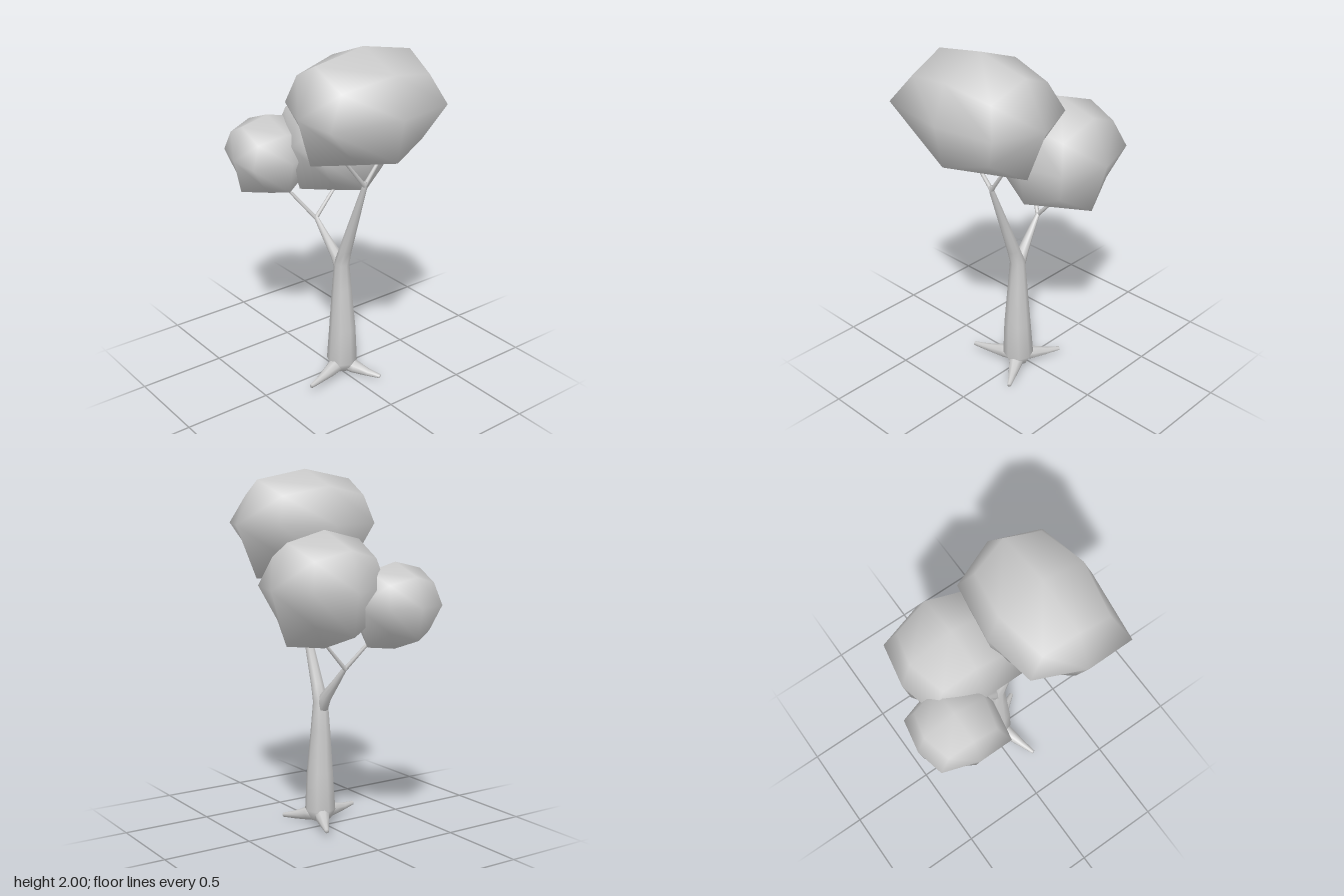
import * as THREE from 'three';

const material = new THREE.MeshStandardMaterial({ color: 0xcccccc });

function makeMesh(name, points, index) {
  const geo = new THREE.BufferGeometry();
  geo.setAttribute('position', new THREE.Float32BufferAttribute(points.flat(), 3));
  geo.setIndex(index);
  geo.computeVertexNormals();
  const mesh = new THREE.Mesh(geo, material);
  mesh.name = name;
  return mesh;
}

// Joins rings of `n` points (counter-clockwise seen from the far end) and closes both ends to a point
function skin(rings, startTip, endTip) {
  const n = rings[0].length;
  const points = [...rings.flat(), startTip, endTip];
  const last = (rings.length - 1) * n;
  const a = rings.length * n;
  const index = [];
  for (let j = 0; j < n; j++) {
    const k = (j + 1) % n;
    for (let i = 0; i < last; i += n) {
      index.push(i + j, i + k, i + n + k, i + j, i + n + k, i + n + j);
    }
    index.push(a, k, j, a + 1, last + j, last + k);
  }
  return [points, index];
}

// Tapering limb through [x, y, z, radius] stations
function limb(name, stations, sides = 8) {
  const up = new THREE.Vector3(0, 1, 0);
  const at = (i) => new THREE.Vector3(...stations[Math.min(Math.max(i, 0), stations.length - 1)].slice(0, 3));
  const rings = stations.map((s, i) => {
    const tangent = at(i + 1).sub(at(i - 1)).normalize();
    const turn = new THREE.Quaternion().setFromUnitVectors(up, tangent);
    return Array.from({ length: sides }, (_, j) => {
      const t = (j / sides) * Math.PI * 2;
      return new THREE.Vector3(Math.sin(t) * s[3], 0, Math.cos(t) * s[3])
        .applyQuaternion(turn).add(at(i)).toArray();
    });
  });
  return makeMesh(name, ...skin(rings, at(0).toArray(), at(stations.length - 1).toArray()));
}

// Leaf clump: an eight-sided ball lying along x, with its lower corners cut in.
// Each ring runs from the top round by way of +z; the front of the -x ring bulges out level with its tip.
const clumpRings = [
  [[-0.3, 0.262, 0], [-0.29, 0.17, 0.2], [-0.405, 0.015, 0.265], [-0.22, -0.17, 0.19],
    [-0.33, -0.245, 0], [-0.22, -0.17, -0.19], [-0.29, 0.015, -0.268], [-0.27, 0.17, -0.19]],
  [[0, 0.315, 0], [0, 0.22, 0.25], [0, 0.012, 0.323], [0, -0.222, 0.28],
    [0, -0.315, 0], [0, -0.222, -0.28], [0, 0.01, -0.315], [0, 0.22, -0.25]],
  [[0.31, 0.255, 0], [0.27, 0.17, 0.2], [0.34, 0.015, 0.265], [0.24, -0.17, 0.19],
    [0.32, -0.285, 0], [0.24, -0.17, -0.19], [0.33, 0.015, -0.268], [0.27, 0.17, -0.2]],
];
function clump(name, center, scale, stretch) {
  const mesh = makeMesh(name, ...skin(clumpRings, [-0.405, 0.01, 0], [0.445, 0.01, 0]));
  mesh.position.set(...center);
  mesh.scale.set(scale * stretch, scale, scale);
  return mesh;
}

export function createModel() {
  const tree = new THREE.Group();
  tree.name = 'tree';

  // Trunk, running on into the front branch
  tree.add(limb('trunk', [
    [0, 0.03, 0.05, 0.06], [0.003, 0.085, 0.052, 0.088], [0.002, 0.3, 0.057, 0.076],
    [0, 0.55, 0.053, 0.056], [0, 0.71, 0.053, 0.043], [0, 0.8, 0.085, 0.036],
    [0, 1.0, 0.16, 0.026], [0, 1.22, 0.243, 0.015], [0, 1.26, 0.25, 0.01],
  ]));

  // Three roots
  const tips = [[-0.28, 0.046, 0.135], [0.125, 0.014, 0.255], [0.115, 0.038, -0.185]];
  for (const [x, y, z] of tips) {
    const station = (t, lift, radius) => [x * t, 0.05 + (y - 0.05) * t + lift, 0.05 + (z - 0.05) * t, radius];
    tree.add(limb('root', [
      station(0, 0.025, 0.052), station(0.35, 0.008, 0.038), station(0.7, 0, 0.022), station(1, 0, 0.012),
    ]));
  }

  // Twigs of the front branch
  for (const x of [-0.17, 0.145]) {
    tree.add(limb('frontTwig', [[0, 1.235, 0.247, 0.012], [x, 1.44, 0.26, 0.008]]));
  }

  // Back branch with two twigs
  tree.add(limb('backBranch', [
    [0, 0.66, 0.045, 0.035], [-0.005, 0.74, 0.01, 0.033],
    [-0.02, 0.84, -0.075, 0.021], [-0.03, 0.93, -0.15, 0.012],
  ]));
  tree.add(limb('backTwig', [[-0.03, 0.92, -0.145, 0.012], [-0.19, 1.14, -0.25, 0.008]]));
  tree.add(limb('backTwig', [[-0.03, 0.92, -0.148, 0.012], [0.14, 1.11, -0.152, 0.008]]));

  // Leaf clumps
  tree.add(clump('topFoliage', [-0.04, 1.685, 0.27], 1, 1));
  tree.add(clump('middleFoliage', [0.115, 1.365, -0.16], 1, 0.74));
  tree.add(clump('lowFoliage', [-0.2, 1.28, -0.362], 0.74, 0.75));
  return tree;
}
